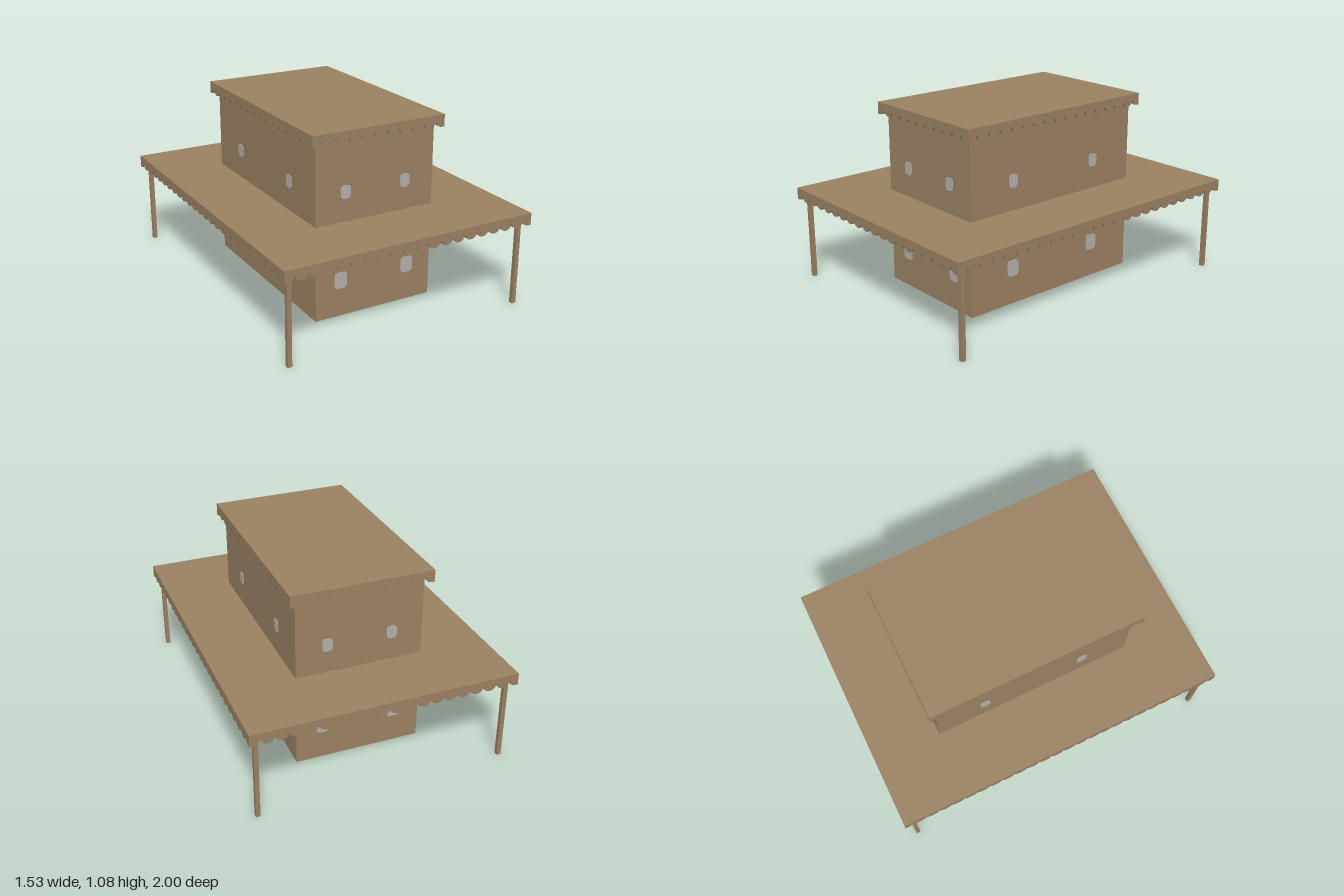
import * as THREE from 'three';

const wood = new THREE.MeshStandardMaterial({ color: 0x9a8162 });
wood.name = 'wood brown';
const glass = new THREE.MeshStandardMaterial({ color: 0xb3aeaa });
glass.name = 'window grey';

const R = 0.0394;      // scallop radius
const DROP = 0.07;     // valance height
const THICK = 0.015;   // valance thickness
const SLAB = 0.03;     // roof slab thickness

function addMesh(parent, geometry, material, name, x = 0, y = 0, z = 0) {
  const mesh = new THREE.Mesh(geometry, material);
  mesh.name = name;
  mesh.position.set(x, y, z);
  parent.add(mesh);
  return mesh;
}

// Board with a row of hanging half circles, top edge at y = 0
function valanceGeometry(half, count) {
  const s = new THREE.Shape();
  const cy = -DROP + R;
  const end = count * R + R;
  s.moveTo(-half, 0);
  s.lineTo(-half, -DROP);
  s.lineTo(-end, -DROP);
  s.absarc(-end, cy, R, -Math.PI / 2, 0, false);
  for (let i = 0; i < count; i++) {
    s.absarc((2 * i + 1 - count) * R, cy, R, Math.PI, 2 * Math.PI, false);
  }
  s.absarc(end, cy, R, Math.PI, 1.5 * Math.PI, false);
  s.lineTo(half, -DROP);
  s.lineTo(half, 0);
  return new THREE.ExtrudeGeometry(s, { depth: THICK, bevelEnabled: false, curveSegments: 8 });
}

// Flat roof with a scalloped valance on all four sides
function makeRoof(name, halfX, halfZ, top, countX, countZ) {
  const roof = new THREE.Group();
  roof.name = name;
  roof.position.y = top;
  const slab = new THREE.BoxGeometry(2 * (halfX - THICK), SLAB, 2 * (halfZ - THICK));
  addMesh(roof, slab, wood, 'roofSlab', 0, -SLAB / 2, 0);
  const long = valanceGeometry(halfZ, countZ);
  const short = valanceGeometry(halfX, countX);
  for (let i = 0; i < 4; i++) {
    const side = new THREE.Group();
    side.name = 'valanceSide';
    side.rotation.y = i * Math.PI / 2;
    addMesh(side, i % 2 ? long : short, wood, 'valance', 0, 0, (i % 2 ? halfX : halfZ) - THICK);
    roof.add(side);
  }
  return roof;
}

// Thin rounded window pane
function windowGeometry(w, h) {
  const r = 0.022, x = w / 2, y = h / 2;
  const s = new THREE.Shape();
  s.absarc(x - r, y - r, r, 0, Math.PI / 2, false);
  s.absarc(-x + r, y - r, r, Math.PI / 2, Math.PI, false);
  s.absarc(-x + r, -y + r, r, Math.PI, 1.5 * Math.PI, false);
  s.absarc(x - r, -y + r, r, 1.5 * Math.PI, 2 * Math.PI, false);
  return new THREE.ExtrudeGeometry(s, { depth: 0.004, bevelEnabled: false, curveSegments: 4 });
}

export function createModel() {
  const model = new THREE.Group();
  model.name = 'pavilionHouse';
  const bodyX = 0.372, bodyZ = 0.603;

  // Two-storey block
  addMesh(model, new THREE.BoxGeometry(2 * bodyX, 1.06, 2 * bodyZ), wood, 'houseBody', 0, 0.53, 0);

  // Roofs
  model.add(makeRoof('verandaRoof', 0.766, 1.0, 0.558, 18, 24));
  model.add(makeRoof('upperRoof', 0.412, 0.645, 1.084, 9, 15));

  // Veranda posts
  const post = new THREE.BoxGeometry(0.025, 0.535, 0.025);
  for (const sx of [-1, 1]) {
    for (const sz of [-1, 1]) addMesh(model, post, wood, 'verandaPost', sx * 0.72, 0.2675, sz * 0.948);
  }

  // Two windows per storey on each wall
  const upper = windowGeometry(0.062, 0.076);
  const lower = windowGeometry(0.078, 0.096);
  for (let i = 0; i < 4; i++) {
    const wall = new THREE.Group();
    wall.name = 'wallWindows';
    wall.rotation.y = i * Math.PI / 2;
    const z = i % 2 ? bodyX : bodyZ;
    for (const s of [-1, 1]) {
      addMesh(wall, upper, glass, 'upperWindow', s * (i % 2 ? 0.306 : 0.189), 0.729, z);
      addMesh(wall, lower, glass, 'lowerWindow', s * (i % 2 ? 0.309 : 0.216), 0.216, z);
    }
    model.add(wall);
  }
  return model;
}
